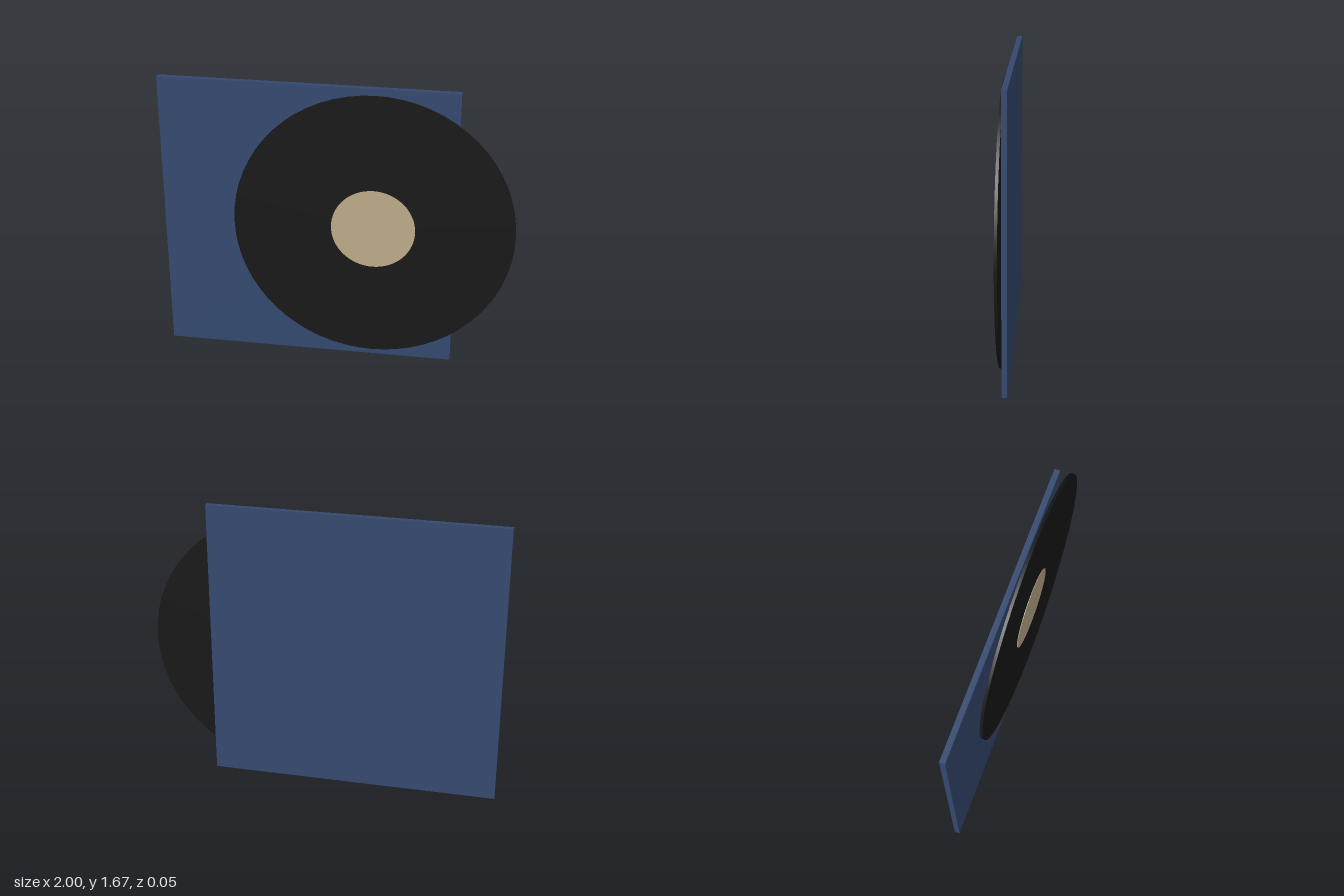
import * as THREE from 'three';

const SLEEVE = 1.667;        // side of the square sleeve
const CENTRE_Y = SLEEVE / 2;
const DISC_X = 0.205;        // the disc slides out to the model's left

function addPart(group, name, geometry, color, x, z) {
  const mesh = new THREE.Mesh(geometry, new THREE.MeshStandardMaterial({ color }));
  mesh.name = name;
  mesh.position.set(x, CENTRE_Y, z);
  group.add(mesh);
}

// Flat disc facing +z
function disc(radius, depth) {
  return new THREE.CylinderGeometry(radius, radius, depth, 64).rotateX(Math.PI / 2);
}

export function createModel() {
  const group = new THREE.Group();
  group.name = 'recordAndSleeve';

  // Square cardboard sleeve
  addPart(group, 'sleeve', new THREE.BoxGeometry(SLEEVE, SLEEVE, 0.031), 0x34496f, -1 + SLEEVE / 2, -0.0095);

  // Record lying against the sleeve front
  addPart(group, 'record', disc(0.795, 0.016), 0x181818, DISC_X, 0.014);

  // Paper label, just proud of the record
  addPart(group, 'label', disc(0.238, 0.018), 0xbcab89, DISC_X, 0.016);

  return group;
}
